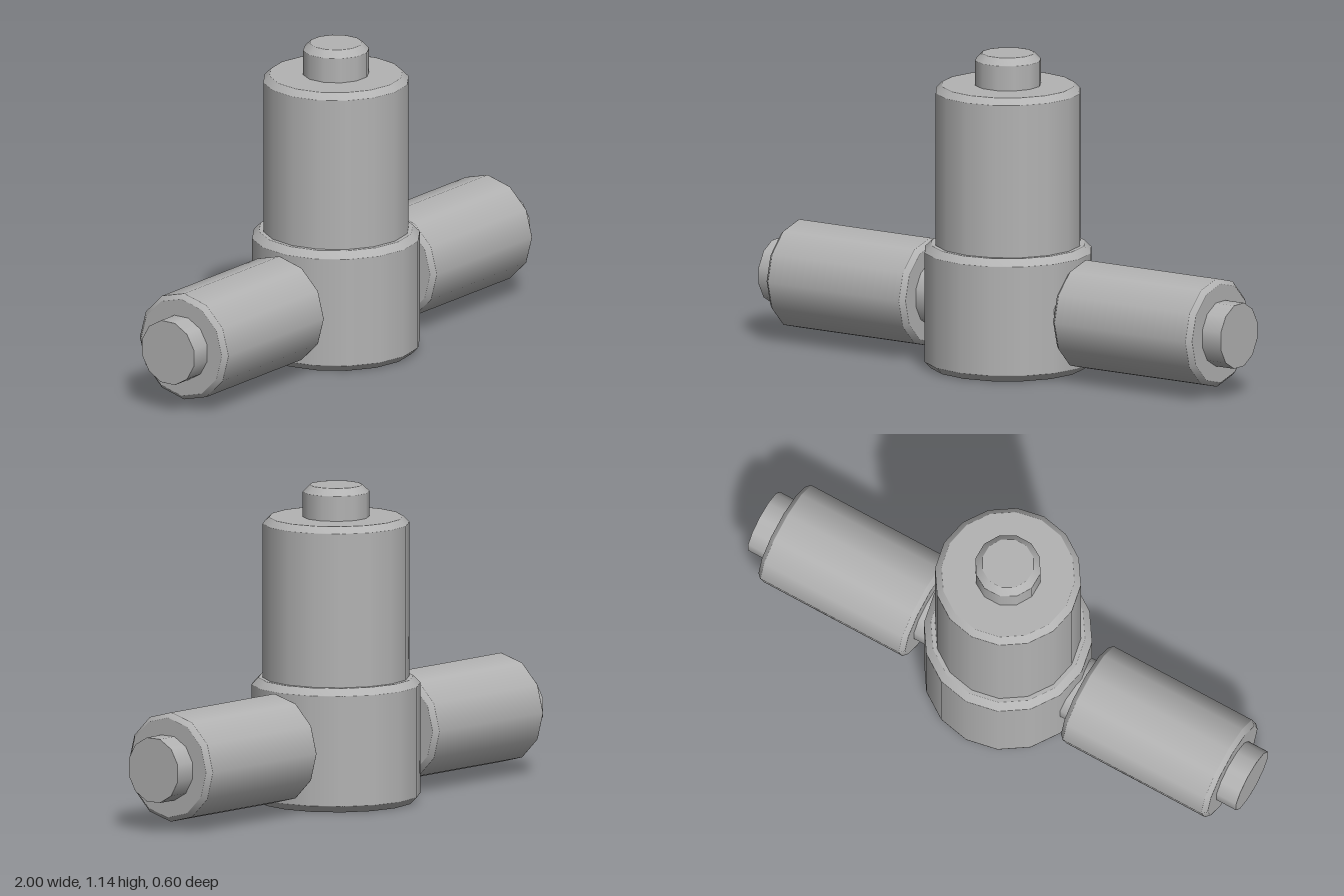
import * as THREE from 'three';

// Closed cylinder from y0 to y1 whose rims have a softened bevel b
function bevelled(r, y0, y1, b0, b1, sides, phase = 0) {
  const e = 0.002, pts = [[0, y0]];
  if (b0 > 0) pts.push([r - b0 - e, y0], [r - b0, y0], [r, y0 + b0], [r, y0 + b0 + e]);
  else pts.push([r - 0.0005, y0], [r, y0], [r, y0 + 0.0005]);
  if (b1 > 0) pts.push([r, y1 - b1 - e], [r, y1 - b1], [r - b1, y1], [r - b1 - e, y1]);
  else pts.push([r, y1 - 0.0005], [r, y1], [r - 0.0005, y1]);
  pts.push([0, y1]);
  return new THREE.LatheGeometry(pts.map(p => new THREE.Vector2(p[0], p[1])), sides, phase);
}

export function createModel() {
  const group = new THREE.Group();
  group.name = 'teeFitting';
  const grey = new THREE.MeshStandardMaterial({ color: 0xb3b3b3 });
  grey.name = 'grey';
  const add = (parent, name, geometry) => {
    const mesh = new THREE.Mesh(geometry, grey);
    mesh.name = name;
    parent.add(mesh);
  };

  // Upright column: hub, barrel and top knob
  const turn = Math.PI / 12;
  add(group, 'hub', bevelled(0.302, 0, 0.447, 0.024, 0.024, 16));
  add(group, 'barrel', bevelled(0.262, 0.42, 1.025, 0, 0.022, 16));
  add(group, 'topKnob', bevelled(0.119, 1.0, 1.14, 0, 0.024, 12, turn));

  // Side arms: a sleeve over a thinner rod
  for (const side of [1, -1]) {
    const arm = new THREE.Group();
    arm.name = side > 0 ? 'leftArm' : 'rightArm';
    add(arm, 'sleeve', bevelled(0.197, 0.32, 0.92, 0.016, 0.016, 12));
    add(arm, 'rod', bevelled(0.119, 0.2, 1.0, 0, 0, 12, turn));
    arm.rotation.z = -side * Math.PI / 2;
    arm.position.y = 0.228;
    group.add(arm);
  }
  return group;
}
